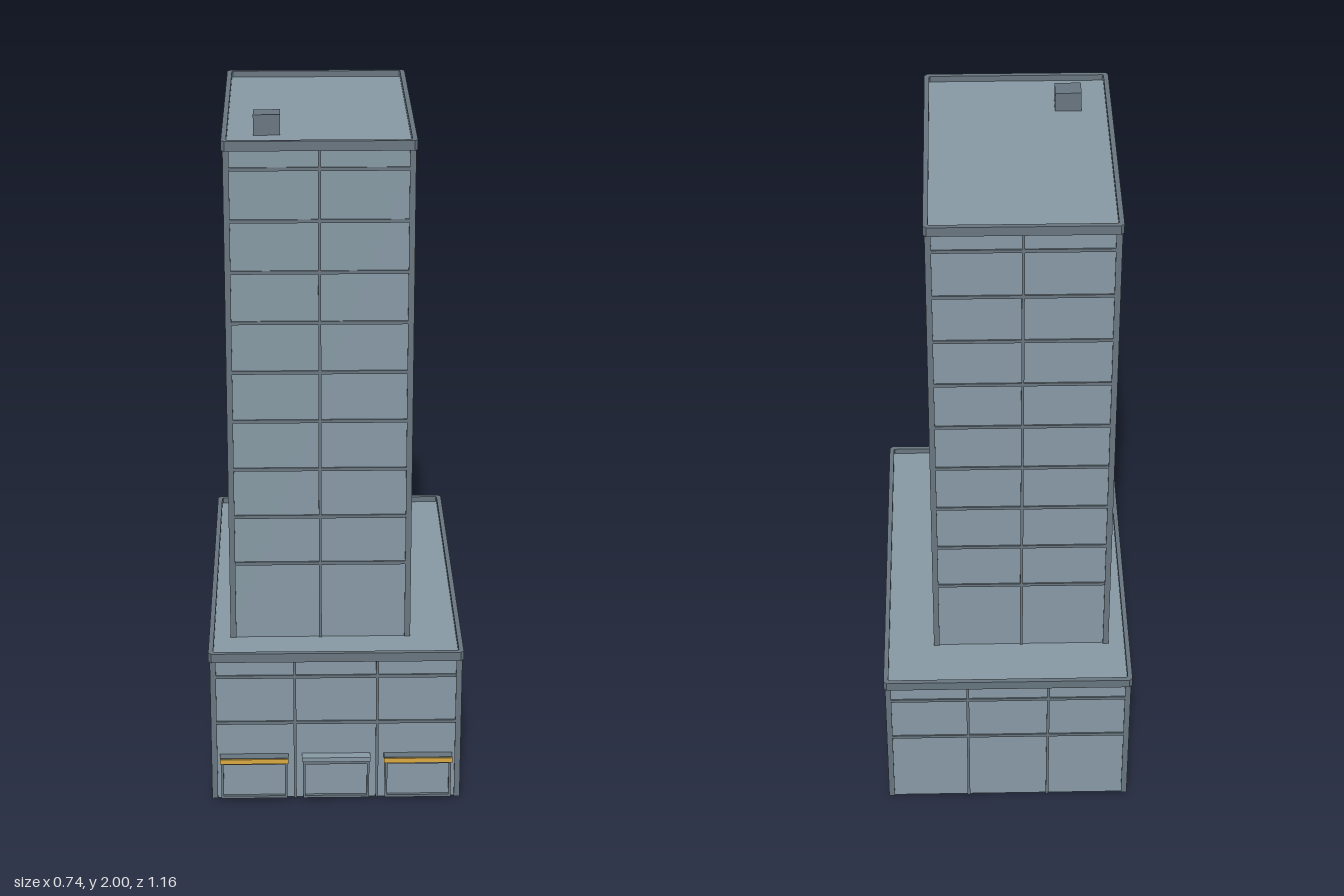
import * as THREE from 'three';

const mat = (color) => new THREE.MeshStandardMaterial({ color });
const wallMat = mat(0x8799a4);
const trimMat = mat(0x68757f);
const awningMat = mat(0xd9a940);

// Box given by its low and high corners
function box(parent, name, material, [x0, y0, z0], [x1, y1, z1]) {
  const mesh = new THREE.Mesh(new THREE.BoxGeometry(x1 - x0, y1 - y0, z1 - z0), material);
  mesh.position.set((x0 + x1) / 2, (y0 + y1) / 2, (z0 + z1) / 2);
  mesh.name = name;
  parent.add(mesh);
  return mesh;
}

// Roof edge: rectangular ring with clipped corners
function parapet(parent, { x0, x1, z0, z1 }, y0, y1, out, width) {
  const outline = (d, c) => {
    const [l, r, b, t] = [x0 - d, x1 + d, -z1 - d, -z0 + d];
    return [[l + c, b], [r - c, b], [r, b + c], [r, t - c], [r - c, t], [l + c, t], [l, t - c], [l, b + c]]
      .map(([x, y]) => new THREE.Vector2(x, y));
  };
  const shape = new THREE.Shape(outline(out, 0.009));
  shape.holes.push(new THREE.Path(outline(out - width, 0.003)));
  const geometry = new THREE.ExtrudeGeometry(shape, { depth: y1 - y0, bevelEnabled: false });
  geometry.rotateX(-Math.PI / 2);
  const mesh = new THREE.Mesh(geometry, trimMat);
  mesh.position.y = y0;
  mesh.name = 'parapet';
  parent.add(mesh);
}

// Wall block with corner posts, mullions, floor bands and a parapet
function block(name, area, y0, y1, opts) {
  const { x0, x1, z0, z1 } = area;
  const group = new THREE.Group();
  group.name = name;
  box(group, 'walls', wallMat, [x0, y0, z0], [x1, y1 - 0.018, z1]);

  const top = y1 - 0.028;
  const post = 0.012, p = 0.005, m = 0.004;
  for (const x of [x0, x1]) for (const z of [z0, z1]) {
    const sx = x === x0 ? 1 : -1, sz = z === z0 ? 1 : -1;
    const xs = [x - sx * p, x + sx * post].sort((a, b) => a - b);
    const zs = [z - sz * p, z + sz * post].sort((a, b) => a - b);
    box(group, 'cornerPost', trimMat, [xs[0], y0, zs[0]], [xs[1], top, zs[1]]);
  }

  // Mullions on front and back, then on both sides
  for (let i = 1; i < opts.frontBays; i++) {
    const x = x0 + (x1 - x0) * i / opts.frontBays;
    box(group, 'frontMullion', trimMat, [x - m, y0, z1 - m], [x + m, top, z1 + p]);
    box(group, 'backMullion', trimMat, [x - m, y0, z0 - p], [x + m, top, z0 + m]);
  }
  for (let i = 1; i < opts.sideBays; i++) {
    const z = z0 + (z1 - z0) * i / opts.sideBays;
    box(group, 'leftMullion', trimMat, [x1 - m, y0, z - m], [x1 + p, top, z + m]);
    box(group, 'rightMullion', trimMat, [x0 - p, y0, z - m], [x0 + m, top, z + m]);
  }

  // Floor bands
  for (const y of opts.bands) {
    const h = 0.005;
    box(group, 'frontBand', trimMat, [x0, y - h, z1 - m], [x1, y + h, z1 + 0.004]);
    box(group, 'backBand', trimMat, [x0, y - h, z0 - 0.004], [x1, y + h, z0 + m]);
    box(group, 'leftBand', trimMat, [x1 - m, y - 0.003, z0], [x1 + 0.002, y + 0.003, z1]);
    box(group, 'rightBand', trimMat, [x0 - 0.002, y - 0.003, z0], [x0 + m, y + 0.003, z1]);
  }

  parapet(group, area, top, y1, 0.009, 0.014);
  return group;
}

// Shop window with frame and canopy, centred on x
function shopfront(x, coloured) {
  const group = new THREE.Group();
  group.name = 'shopfront';
  const w = 0.097, t = 0.007, zBack = 0.545, z = 0.571;
  box(group, 'shopGlass', wallMat, [x - w, 0.01, zBack], [x + w, 0.128, 0.562]);
  for (const s of [-1, 1]) {
    const c = x + s * (w - t / 2);
    box(group, 'frameSide', trimMat, [c - t / 2, 0.01, zBack], [c + t / 2, 0.13, z]);
  }
  box(group, 'frameBottom', trimMat, [x - w, 0.01, zBack], [x + w, 0.018, z]);
  box(group, 'frameTop', trimMat, [x - w, 0.122, zBack], [x + w, 0.13, z]);
  box(group, 'canopy', coloured ? trimMat : wallMat, [x - 0.1, 0.132, zBack], [x + 0.1, 0.146, 0.575]);
  if (coloured) box(group, 'canopyEdge', awningMat, [x - 0.1, 0.129, 0.573], [x + 0.1, 0.144, 0.579]);
  return group;
}

export function createModel() {
  const model = new THREE.Group();
  model.name = 'building';

  model.add(block('podium', { x0: -0.36, x1: 0.36, z0: -0.57, z1: 0.547 }, 0, 0.478,
    { frontBays: 3, sideBays: 5, bands: [0.25, 0.4] }));

  const floors = Array.from({ length: 9 }, (_, i) => 0.698 + i * 0.1477);
  model.add(block('tower', { x0: -0.302, x1: 0.215, z0: -0.393, z1: 0.411 }, 0.45, 1.96,
    { frontBays: 2, sideBays: 4, bands: floors }));

  box(model, 'roofUnit', trimMat, [-0.225, 1.935, 0.23], [-0.15, 2, 0.29]);

  for (const x of [-0.24, 0, 0.24]) model.add(shopfront(x, x !== 0));
  return model;
}
